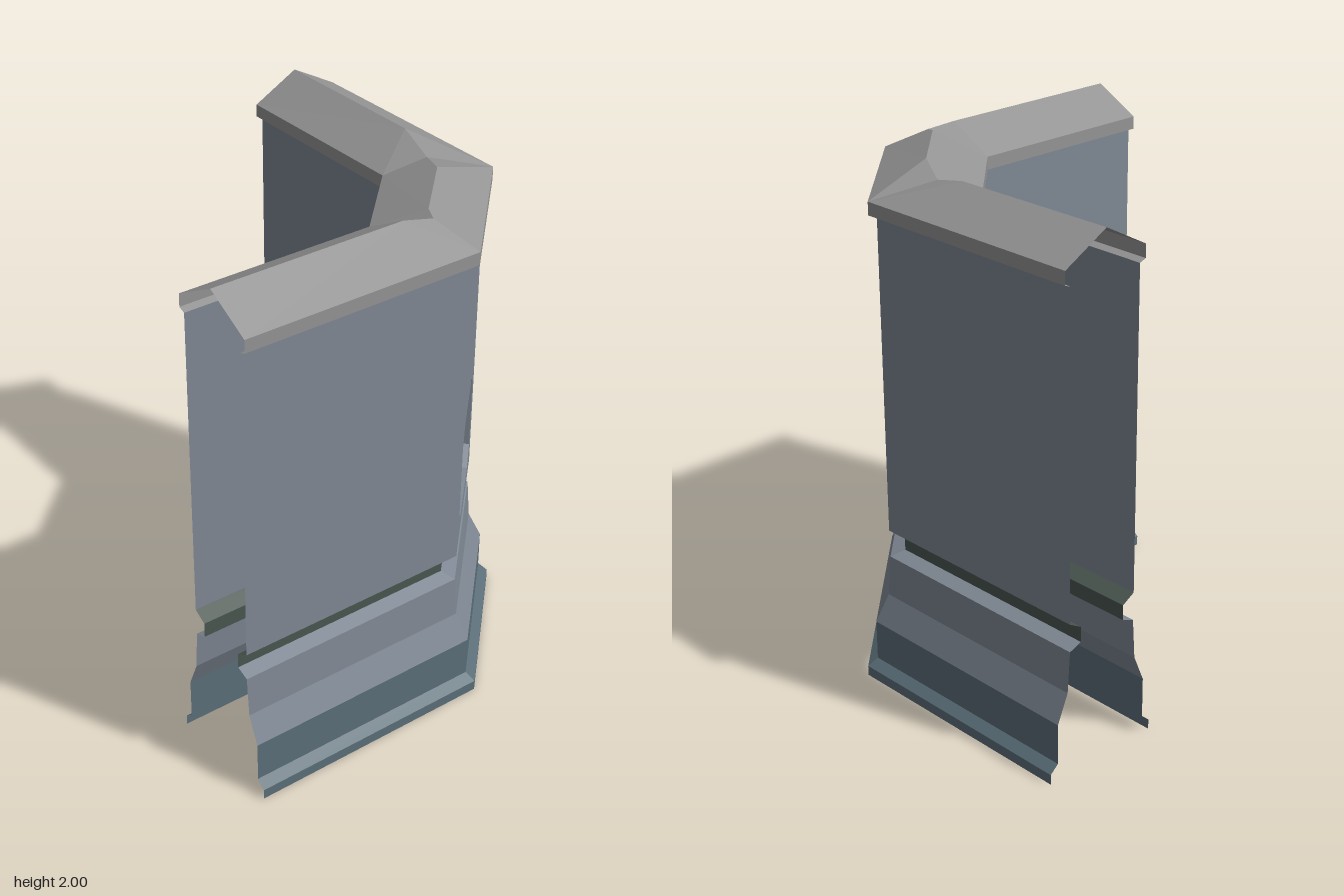
import * as THREE from 'three';

const END = 0.755, MID = 0.505;

function material(color) {
  return new THREE.MeshStandardMaterial({ color, flatShading: true, side: THREE.DoubleSide });
}

// Plan line of the corner wall at offset d from its middle (positive = outside).
function plan(d, y, shift = 0) {
  const c = 0.125 + 0.5 * d + shift;
  return [[-END, y, -MID - d], [c, y, -MID - d], [MID + d, y, -c], [MID + d, y, END]];
}

// Faceted skin between successive rows of points; skip leaves out one column.
function loft(rows, skip = -1) {
  const pos = [];
  const same = (a, b) => a.every((v, i) => Math.abs(v - b[i]) < 1e-6);
  const tri = (a, b, c) => {
    if (!same(a, b) && !same(b, c) && !same(a, c)) pos.push(...a, ...b, ...c);
  };
  for (let r = 0; r + 1 < rows.length; r++) {
    const p = rows[r], q = rows[r + 1];
    for (let j = 0; j + 1 < p.length; j++) {
      if (j === skip) continue;
      tri(p[j], q[j], p[j + 1]);
      tri(p[j + 1], q[j], q[j + 1]);
    }
  }
  const g = new THREE.BufferGeometry();
  g.setAttribute('position', new THREE.Float32BufferAttribute(pos, 3));
  g.computeVertexNormals();
  return g;
}

export function createModel() {
  const model = new THREE.Group();
  const wallMat = material(0x7f8894), baseMat = material(0x5b6e78);
  const grooveMat = material(0x4a5650), capMat = material(0x949494);

  const add = (name, geometry, mat, parent = model) => {
    const m = new THREE.Mesh(geometry, mat);
    m.name = name;
    parent.add(m);
    return m;
  };

  // Horizontal bands, each profile listed as [offset, height], on both sides
  const bands = [
    ['plinth', baseMat, [[0.25, 0], [0.25, 0.04], [0.215, 0.07], [0.215, 0.23]]],
    ['skirt', wallMat, [[0.215, 0.23], [0.168, 0.34], [0.157, 0.5], [0.105, 0.52]]],
    ['groove', grooveMat, [[0.105, 0.52], [0.105, 0.58], [0.158, 0.61]]],
    ['wall', wallMat, [[0.158, 0.61], [0.158, 1.84]]],
    ['capEdge', capMat, [[0.158, 1.84], [0.185, 1.85], [0.185, 1.9]]],
  ];
  for (const [name, mat, profile] of bands) {
    const outer = profile.map(([d, y]) => plan(d, y));
    // the inner corners lean together slightly towards the top of the wall
    const inner = profile.map(([d, y]) => plan(-d, y, y === 1.84 ? 0.035 : 0).reverse());
    add(name + 'Outer', loft(outer, name === 'wall' ? 1 : -1), mat);
    add(name + 'Inner', loft(inner), mat);
  }

  // Worn ridge of the cap and its two sloping sides
  const ridge = [
    [-END, 2, -MID], [-0.07, 1.998, -0.505], [0.1, 1.957, -0.47], [0.24, 1.99, -0.4],
    [0.48, 1.995, -0.16], [0.53, 1.985, -0.14], [0.505, 2, -0.03], [MID, 2, END],
  ];
  const eaves = (d, knee) => {
    const [a, b, c, e] = plan(d, 1.9);
    return [a, knee ?? b, b, b, c, c, c, e];
  };
  add('capSlopeOuter', loft([eaves(0.185, [0.11, 1.9, -MID - 0.185]), ridge]), capMat);
  add('capSlopeInner', loft([eaves(-0.185).reverse(), [...ridge].reverse()]), capMat);

  // Diagonal outer wall with a recessed eight-sided panel
  const d = 0.158, c1 = 0.125 + 0.5 * d;
  const half = (MID + d - c1) * Math.SQRT1_2;
  const centre = (MID + d + c1) / 2;
  const facet = new THREE.Group();
  facet.name = 'diagonalWall';
  facet.position.set(centre, 0, -centre);
  facet.rotation.y = Math.PI * 0.75;
  model.add(facet);

  const w = 0.24, lo = 0.68, hi = 1.09, cut = 0.08, cy = 0.06, depth = 0.045;
  const outline = [
    [-w + cut, lo], [w - cut, lo], [w, lo + cy], [w, hi - cy],
    [w - cut, hi], [-w + cut, hi], [-w, hi - cy], [-w, lo + cy],
  ];
  const points = outline.map(([x, y]) => new THREE.Vector2(x, y));
  const face = new THREE.Shape([
    new THREE.Vector2(-half, 0.61), new THREE.Vector2(half, 0.61),
    new THREE.Vector2(half, 1.84), new THREE.Vector2(-half, 1.84),
  ]);
  face.holes.push(new THREE.Path(points));
  add('diagonalFace', new THREE.ShapeGeometry(face), wallMat, facet);

  const loop = [...outline, outline[0]];
  const rim = (z, s) => loop.map(([x, y]) => [x * s, 0.885 + (y - 0.885) * s, z]);
  add('recessSides', loft([rim(0, 1), rim(-depth, 0.98)]), wallMat, facet);
  const floor = new THREE.Shape(rim(-depth, 0.98).slice(0, 8).map(([x, y]) => new THREE.Vector2(x, y)));
  add('recessPanel', new THREE.ShapeGeometry(floor), wallMat, facet).position.z = -depth;

  return model;
}
